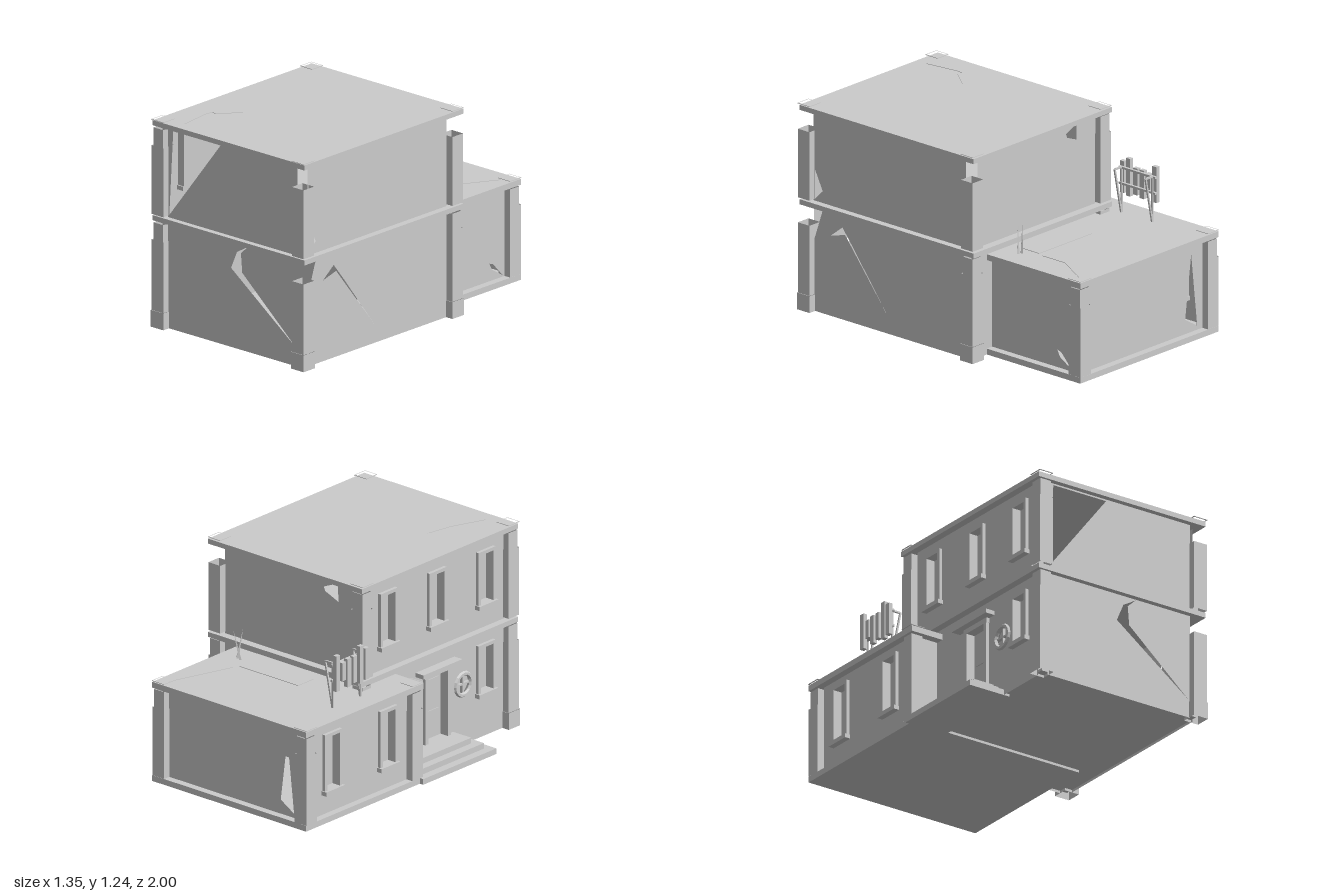
import * as THREE from 'three';

const solid = new THREE.MeshStandardMaterial({ color: 0xcccccc, flatShading: true });
const thin = new THREE.MeshStandardMaterial({ color: 0xcccccc, flatShading: true, side: THREE.DoubleSide });

function add(parent, name, geometry, material = solid) {
  const mesh = new THREE.Mesh(geometry, material);
  mesh.name = name;
  parent.add(mesh);
  return mesh;
}

// Box given by its extents on each axis
function box(parent, name, [x0, x1], [y0, y1], [z0, z1]) {
  const mesh = add(parent, name, new THREE.BoxGeometry(x1 - x0, y1 - y0, z1 - z0));
  mesh.position.set((x0 + x1) / 2, (y0 + y1) / 2, (z0 + z1) / 2);
}

const rect = (u0, u1, v0, v1) => [[u0, v0], [u1, v0], [u1, v1], [u0, v1]];

function outlineShape(outline, holes) {
  const points = (list) => list.map(([u, v]) => new THREE.Vector2(u, v));
  const shape = new THREE.Shape(points(outline));
  holes.forEach((h) => shape.holes.push(new THREE.Path(points(h))));
  return shape;
}

// Thin upright wall panel; axis is the direction it runs along
function wall(parent, name, axis, at, outline, holes = []) {
  const mesh = add(parent, name, new THREE.ShapeGeometry(outlineShape(outline, holes)), thin);
  if (axis === 'z') {
    mesh.rotation.y = -Math.PI / 2;
    mesh.position.x = at;
  } else mesh.position.z = at;
}

// Flat layer lying on a roof; outline and hole corners are given as x, z
function flatLayer(parent, name, outline, y, holes) {
  const flip = (list) => list.map(([x, z]) => [x, -z]);
  const shape = outlineShape(flip(outline), holes.map(flip));
  const geometry = new THREE.ExtrudeGeometry(shape, { depth: 0.003, bevelEnabled: false });
  add(parent, name, geometry.rotateX(-Math.PI / 2)).position.y = y;
}

// Hollow square post, open at both ends
function post(parent, name, x, z, width, y0, y1) {
  const r = width / Math.SQRT2;
  const geometry = new THREE.CylinderGeometry(r, r, y1 - y0, 4, 1, true).rotateY(Math.PI / 4);
  add(parent, name, geometry, thin).position.set(x, (y0 + y1) / 2, z);
}

// Pillar: lower casing with a slimmer core rising out of it
function pillar(parent, x, z, y0, casingTop, coreTop) {
  post(parent, 'pillarCasing', x, z, 0.088, y0, casingTop);
  if (coreTop) post(parent, 'pillarCore', x, z, 0.074, y0, coreTop);
}

// Remains of a corner cap: a thin square rim
function cornerCap(parent, x, z, y) {
  const ring = (r) => rect(x - r, x + r, z - r, z + r);
  flatLayer(parent, 'cornerCap', ring(0.046), y, [ring(0.04)]);
}

// Group whose x runs along world z and whose z points out of a -x wall
function facade(parent, name, x) {
  const group = new THREE.Group();
  group.name = name;
  group.rotation.y = -Math.PI / 2;
  group.position.x = x;
  parent.add(group);
  return group;
}

// Window with deep frame, sill and recessed pane
const WIN = 0.06;
const opening = (u, v0, v1) => rect(u - WIN, u + WIN, v0, v1);
function windowUnit(parent, u, v0, v1) {
  const g = new THREE.Group();
  g.name = 'window';
  for (const s of [-1, 1]) {
    const c = u + s * (WIN + 0.002);
    box(g, 'windowJamb', [c - 0.01, c + 0.01], [v0, v1], [-0.045, 0.02]);
  }
  box(g, 'windowHead', [u - WIN - 0.012, u + WIN + 0.012], [v1, v1 + 0.02], [-0.045, 0.02]);
  box(g, 'windowSill', [u - WIN - 0.02, u + WIN + 0.02], [v0 - 0.025, v0], [-0.045, 0.035]);
  box(g, 'windowPane', [u - WIN, u + WIN], [v0, v1], [-0.045, -0.035]);
  parent.add(g);
}

function mainBlock() {
  const g = new THREE.Group();
  g.name = 'mainBlock';
  // Panel extents between pillars, and the pillar centre lines they stand on
  const X = [-0.4, 0.585], Z = [-0.24, 0.92];
  const left = 0.628, right = -0.44, front = 0.955, back = -0.285;
  const plinth = [0, 0.1], lower = [0.1, 0.63], upper = [0.66, 1.195];
  const SX = [-0.485, 0.67], SZ = [-0.335, 0.99];

  // Floors and roof
  box(g, 'groundFloor', [right, left], [0.015, 0.03], [back, front]);
  box(g, 'middleSlab', SX, [0.63, 0.66], SZ);
  box(g, 'roofSlab', SX, [1.195, 1.222], SZ);
  flatLayer(g, 'roofSurface', rect(...SX, ...SZ), 1.222, [
    [[-0.42, -0.26], [-0.31, -0.18], [-0.41, -0.17]],
    [[-0.33, 0.02], [-0.34, -0.08], [-0.28, -0.15], [-0.26, -0.13]],
    [[-0.05, -0.14], [0.06, -0.02], [-0.01, 0.01]],
    [[0.12, 0.5], [0.27, 0.36], [0.27, 0.42], [0.12, 0.57]],
    [[-0.2, 0.54], [-0.3, 0.67], [-0.33, 0.66], [-0.34, 0.7], [-0.31, 0.92], [-0.23, 0.71]],
    [[0.48, 0.79], [0.52, 0.725], [0.6, 0.73]]]);

  // Plinth panels
  for (const z of [front, back]) wall(g, 'plinth', 'x', z, rect(...X, ...plinth));
  for (const x of [left, right]) wall(g, 'plinth', 'z', x, rect(...Z, ...plinth));

  // Cracked walls
  wall(g, 'frontLowerWall', 'x', front, rect(...X, ...lower), [
    [[0.08, 0.47], [0.125, 0.575], [0.21, 0.625], [0.155, 0.575], [0.165, 0.46], [0.575, 0.11]]]);
  wall(g, 'frontUpperWall', 'x', front, rect(...X, ...upper),
    [[[-0.39, 0.675], [-0.36, 1.185], [0.005, 1.185]]]);
  wall(g, 'backLowerWall', 'x', back, rect(...X, ...lower));
  wall(g, 'backUpperWall', 'x', back, rect(...X, ...upper),
    [[[-0.26, 1.185], [-0.265, 1.075], [-0.165, 1.115], [-0.155, 1.14]]]);
  wall(g, 'sideLowerWall', 'z', left,
    [[-0.24, 0.1], [0.92, 0.1], [0.92, 0.41], [0.845, 0.63], [-0.24, 0.63]],
    [[[0.79, 0.48], [0.7, 0.55], [0.62, 0.45], [0.36, 0.11], [0.68, 0.51]]]);
  wall(g, 'sideUpperWall', 'z', left, rect(...Z, ...upper),
    [[[0.91, 0.85], [0.85, 0.73], [0.91, 0.67]]]);

  // Entrance side
  const upperWindows = [-0.075, 0.34, 0.755];
  const [cz, cy] = [0.575, 0.365];
  const circle = Array.from({ length: 16 }, (_, i) => {
    const a = (i / 16) * Math.PI * 2;
    return [cz + 0.06 * Math.cos(a), cy + 0.06 * Math.sin(a)];
  });
  wall(g, 'entranceLowerWall', 'z', right, rect(...Z, ...lower),
    [opening(0.755, 0.275, 0.545), rect(0.25, 0.43, 0.102, 0.5), circle]);
  wall(g, 'entranceUpperWall', 'z', right, rect(...Z, ...upper),
    upperWindows.map((u) => opening(u, 0.81, 1.11)));
  const f = facade(g, 'entranceFacade', right);
  upperWindows.forEach((u) => windowUnit(f, u, 0.81, 1.11));
  windowUnit(f, 0.755, 0.275, 0.545);

  // Round window
  add(f, 'roundWindowRing', new THREE.TorusGeometry(0.065, 0.014, 6, 16)).position.set(cz, cy, 0);
  add(f, 'roundWindowPane', new THREE.CircleGeometry(0.06, 16), thin).position.set(cz, cy, -0.02);
  box(f, 'roundWindowBar', [cz - 0.005, cz + 0.005], [cy - 0.06, cy + 0.06], [-0.02, 0]);
  box(f, 'roundWindowBar', [cz - 0.06, cz + 0.06], [cy - 0.005, cy + 0.005], [-0.02, 0]);

  // Door and canopy
  box(f, 'door', [0.25, 0.43], [0.1, 0.5], [-0.045, -0.035]);
  box(f, 'doorPanel', [0.28, 0.4], [0.14, 0.27], [-0.035, -0.03]);
  box(f, 'doorPanel', [0.28, 0.4], [0.3, 0.46], [-0.035, -0.03]);
  for (const u of [0.245, 0.435]) box(f, 'doorJamb', [u - 0.013, u + 0.013], [0.1, 0.5], [-0.045, 0.02]);
  box(f, 'doorHead', [0.23, 0.45], [0.5, 0.53], [-0.045, 0.02]);
  box(f, 'doorCanopy', [0.17, 0.5], [0.53, 0.555], [0, 0.06]);

  // Corner pillars on both floors
  for (const x of [right, left]) for (const z of [front, back]) {
    const leftSide = x > 0;
    post(g, 'pillarBase', x, z, 0.096, 0, 0.1);
    pillar(g, x, z, 0.1, 0.52, leftSide && z > 0 ? 0 : 0.62);
    pillar(g, x, z, 0.67, 1.08, leftSide ? 0 : 1.185);
    cornerCap(g, x, z, 1.232);
  }
  return g;
}

function annex() {
  const g = new THREE.Group();
  g.name = 'annex';
  const X = [-0.565, 0.42], Z = [-0.905, -0.09], Y = [0.035, 0.565];
  const left = 0.46, right = -0.607, front = -0.05, back = -0.95;
  const SX = [-0.65, 0.505], SZ = [-0.995, 0];
  box(g, 'annexFloor', SX, [0, 0.035], SZ);

  // Chipped roof with a skylight
  box(g, 'annexRoofSlab', SX, [0.565, 0.597], SZ);
  const glass = rect(-0.145, 0.295, -0.492, -0.363);
  flatLayer(g, 'annexRoofSurface', rect(...SX, ...SZ), 0.597, [
    rect(-0.155, 0.305, -0.5, -0.355),
    [[0.44, -0.93], [0.31, -0.7], [0.31, -0.52]],
    [[-0.58, -0.76], [-0.47, -0.79], [-0.53, -0.63]]]);
  flatLayer(g, 'skylight', glass, 0.597, []);

  // Walls
  const windows = [-0.735, -0.265];
  wall(g, 'annexBackWall', 'x', back, rect(...X, ...Y), [[[-0.47, 0.5], [-0.42, 0.12], [-0.52, 0.06]]]);
  wall(g, 'annexFrontWall', 'x', front, rect(...X, ...Y));
  wall(g, 'annexSideWall', 'z', left, rect(...Z, ...Y),
    [[[-0.78, 0.14], [-0.81, 0.13], [-0.89, 0.045], [-0.8, 0.1]]]);
  wall(g, 'annexStreetWall', 'z', right, rect(...Z, ...Y), windows.map((u) => opening(u, 0.18, 0.5)));
  const f = facade(g, 'annexFacade', right);
  windows.forEach((u) => windowUnit(f, u, 0.18, 0.5));

  // Pillars
  for (const [x, z] of [[right, back], [right, front], [left, back]]) {
    pillar(g, x, z, 0.035, 0.45, 0.556);
    cornerCap(g, x, z, 0.606);
  }
  return g;
}

// Broken plank sign standing on the annex roof
function roofSign() {
  const g = new THREE.Group();
  g.name = 'roofSign';
  const planks = [[-0.37, 0.71, 0.9], [-0.415, 0.7, 0.925], [-0.47, 0.72, 0.88],
    [-0.52, 0.71, 0.88], [-0.565, 0.76, 0.87], [-0.615, 0.71, 0.925]];
  for (const [z, y0, y1] of planks) box(g, 'signPlank', [-0.555, -0.53], [y0, y1], [z - 0.016, z + 0.016]);
  for (const y of [0.77, 0.865]) box(g, 'signRail', [-0.53, -0.515], [y - 0.006, y + 0.006], [-0.635, -0.355]);
  for (const z of [-0.38, -0.615]) {
    box(g, 'signPost', [-0.52, -0.51], [0.6, 0.875], [z - 0.005, z + 0.005]);
    box(g, 'signArm', [-0.52, -0.46], [0.865, 0.875], [z - 0.005, z + 0.005]);
    const brace = add(g, 'signBrace', new THREE.BoxGeometry(0.01, 0.28, 0.01));
    brace.position.set(-0.485, 0.735, z);
    brace.rotation.z = -0.2;
  }
  return g;
}

export function createModel() {
  const model = new THREE.Group();
  model.name = 'ruinedBuilding';
  model.add(mainBlock(), annex(), roofSign());

  // Entrance steps
  [[-0.675, 0.59], [-0.625, 0.54], [-0.575, 0.49]].forEach(([x, z], i) =>
    box(model, 'entranceStep', [x, -0.4], [i * 0.034, (i + 1) * 0.034], [-0.03, z]));

  // Bent rods left on the annex roof
  for (const [z, tilt] of [[-0.4, 0.12], [-0.43, -0.15]]) {
    const rod = add(model, 'bentRod', new THREE.ConeGeometry(0.01, 0.19, 4));
    rod.position.set(0.37, 0.69, z);
    rod.rotation.set(tilt, 0, tilt);
  }
  return model;
}
